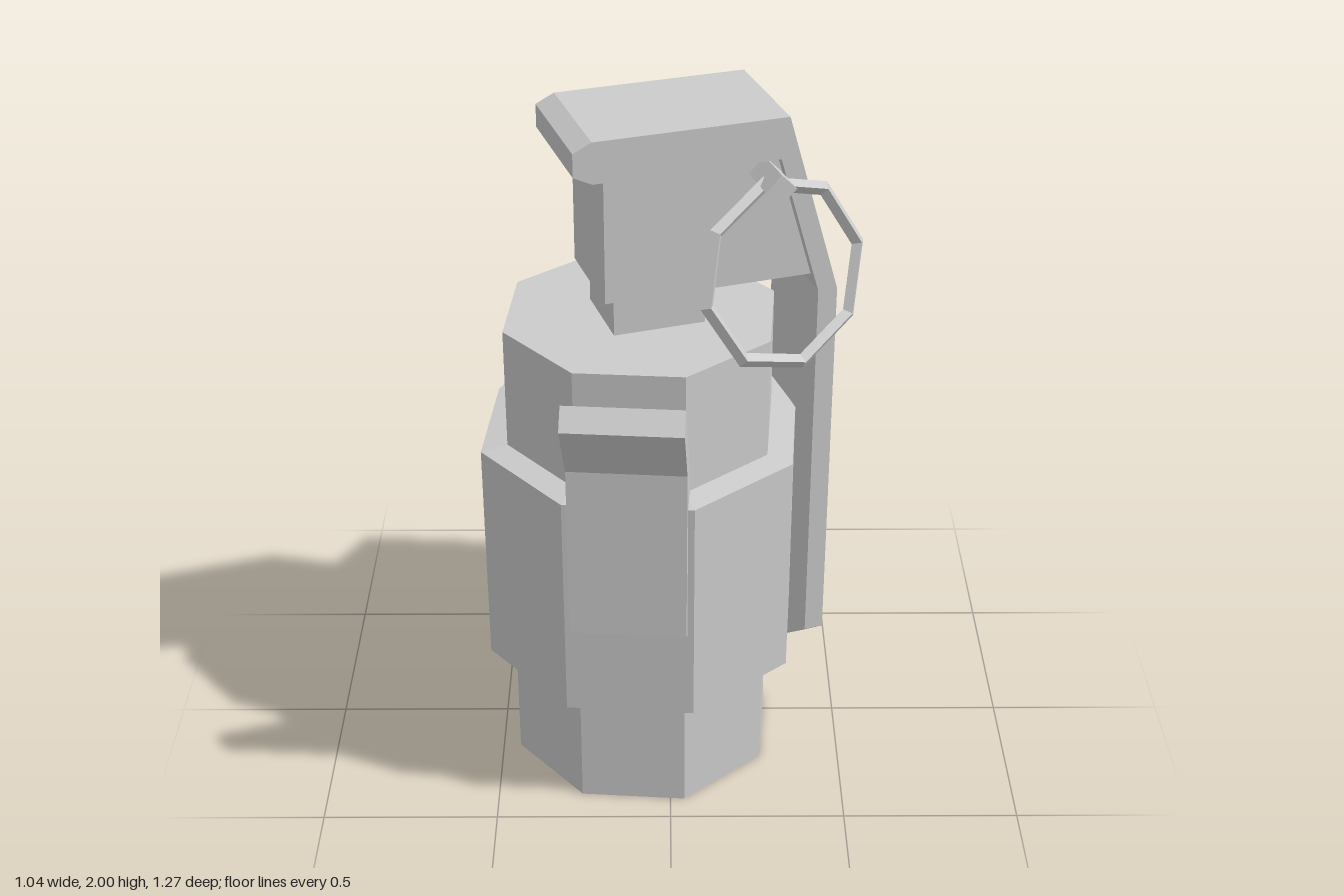
import * as THREE from 'three';

const material = new THREE.MeshStandardMaterial({ color: 0xcccccc, flatShading: true });
const deg = THREE.MathUtils.degToRad;

function addMesh(parent, name, geometry, x = 0, y = 0, z = 0) {
  const mesh = new THREE.Mesh(geometry, material);
  mesh.name = name;
  mesh.position.set(x, y, z);
  parent.add(mesh);
  return mesh;
}

// Side profile extruded to a width, centred across z
function slab(points, width, steps = 1) {
  const shape = new THREE.Shape(points.map(([x, y]) => new THREE.Vector2(x, y)));
  const geometry = new THREE.ExtrudeGeometry(shape, { depth: width, steps, bevelEnabled: false });
  return geometry.translate(0, 0, -width / 2);
}

function editVertices(geometry, rule) {
  const pos = geometry.attributes.position;
  const v = new THREE.Vector3();
  for (let i = 0; i < pos.count; i++) {
    v.fromBufferAttribute(pos, i);
    rule(v);
    pos.setXYZ(i, v.x, v.y, v.z);
  }
  geometry.computeVertexNormals();
  return geometry;
}

export function createModel() {
  const model = new THREE.Group();
  model.name = 'canister';

  // Everything but the ring is laid out around the turned body axis
  const core = new THREE.Group();
  core.name = 'core';
  core.position.set(-0.08, 0, 0.052);
  core.rotation.y = deg(18);
  model.add(core);

  // Octagonal body and the neck on top
  addMesh(core, 'body', new THREE.CylinderGeometry(0.389, 0.389, 1.41, 8), 0, 0.705, 0);
  addMesh(core, 'neck', new THREE.BoxGeometry(0.257, 0.16, 0.226), 0.018, 1.47, 0);

  // Head block, its far end sloping along the lever
  addMesh(core, 'head', slab([[-0.143, 1.525], [0.439, 1.525], [0.331, 1.89], [-0.143, 1.89]], 0.29));

  // Lever: chamfered top plate, sloped shoulder, long arm with a pointed tip
  const lever = slab([
    [-0.231, 1.91], [-0.18, 1.885], [0.331, 1.885], [0.448, 1.485], [0.448, 0.36],
    [0.503, 0.36], [0.503, 1.485], [0.352, 2], [-0.18, 2], [-0.231, 1.975],
  ], 0.35, 2);
  addMesh(core, 'lever', editVertices(lever, (v) => {
    if (Math.abs(v.z) < 0.01 && v.y < 0.5) v.y = 0.22;
  }));

  // Four-sided pin through the head
  const pin = new THREE.CylinderGeometry(0.043, 0.043, 0.145, 4).rotateX(Math.PI / 2);
  addMesh(core, 'pin', pin, 0.295, 1.843, 0.2);

  // Sleeve and clip share a frame that faces one flat of the octagon
  const mount = new THREE.Group();
  mount.name = 'sleeveAndClip';
  mount.rotation.y = deg(-22.5);
  core.add(mount);

  // Sleeve: octagon stretched at the back, with slightly sloping ends
  const sleeve = new THREE.CylinderGeometry(0.465, 0.465, 0.676, 8, 1, false, deg(22.5));
  addMesh(mount, 'sleeve', editVertices(sleeve, (v) => {
    if (v.z < -0.4) {
      v.x = Math.sign(v.x) * 0.203;
      v.z = -0.672;
    } else if (Math.hypot(v.x, v.z) < 0.01) v.y += Math.sign(v.y) * 0.06;
  }), 0, 0.71, 0);

  // Front clip with a lip bent outward
  const clip = slab([
    [0.4, 0.64], [0.43, 0.64], [0.467, 0.66], [0.458, 1.17], [0.572, 1.355],
    [0.528, 1.41], [0.4, 1.2], [0.357, 1.05],
  ], 0.32).rotateY(-Math.PI / 2);
  addMesh(mount, 'clip', clip);

  // Tilted pull ring hanging from the pin
  const ring = addMesh(model, 'pullRing', new THREE.TorusGeometry(0.25, 0.02, 4, 8));
  const side = new THREE.Vector3(0.815, 0.098, -0.57).normalize();
  const up = new THREE.Vector3(-0.2075, 0.968, -0.138);
  const facing = new THREE.Vector3().crossVectors(side, up).normalize();
  up.crossVectors(facing, side);
  ring.quaternion.setFromRotationMatrix(new THREE.Matrix4().makeBasis(side, up, facing));
  ring.position.set(0.297, 1.6, 0.207);

  return model;
}
